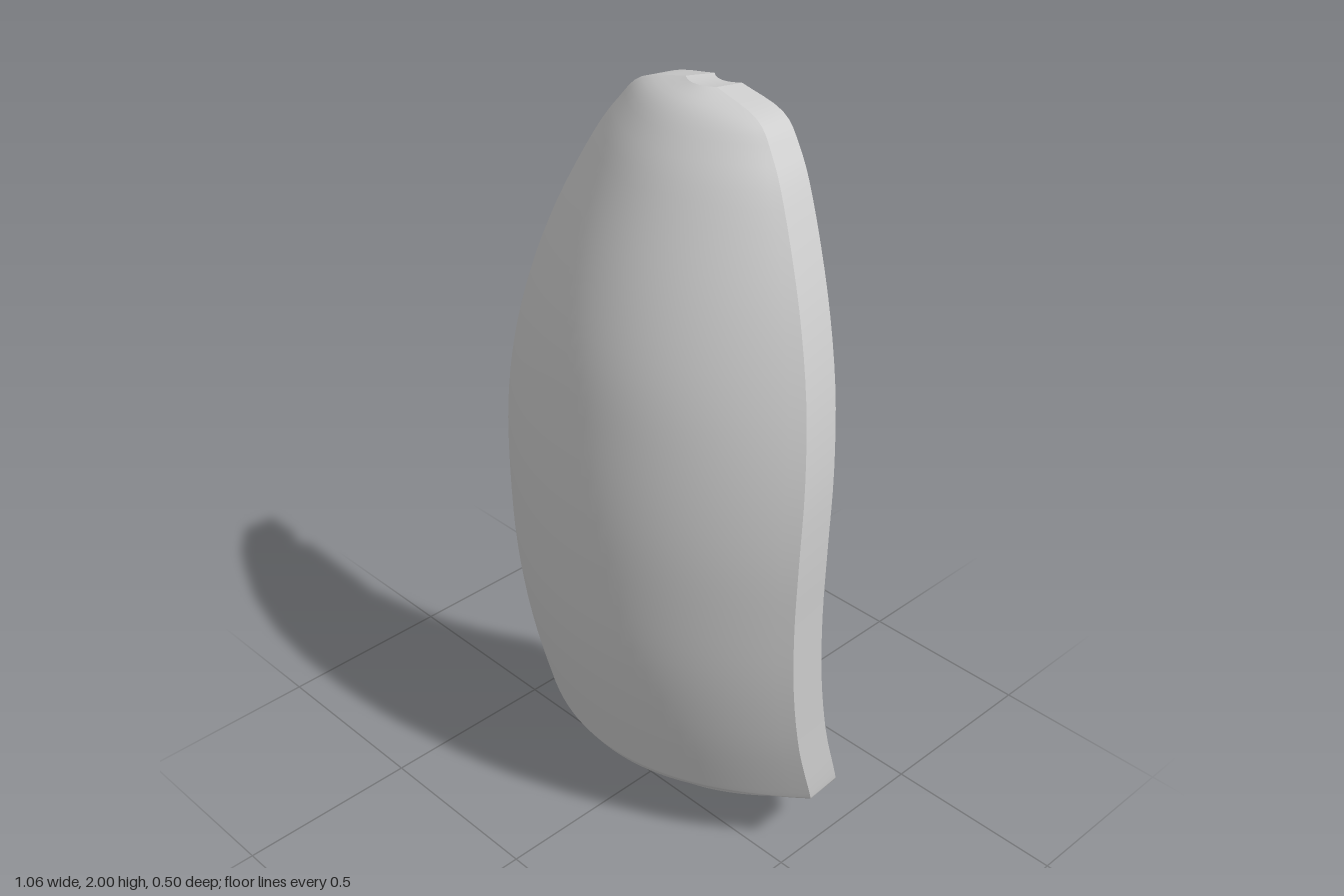
import * as THREE from 'three';

// Rows from bottom to top: height, half width, z on the centre line, z at the edge
const ROWS = [
  [0, 0.295, -0.025, -0.16], [0.04, 0.31, 0.01, -0.147], [0.085, 0.36, 0.055, -0.128],
  [0.145, 0.45, 0.125, -0.1], [0.19, 0.515, 0.16, -0.08], [0.22, 0.527, 0.17, -0.068],
  [0.4, 0.528, 0.212, -0.015], [0.6, 0.528, 0.243, 0.018], [0.8, 0.528, 0.253, 0.029],
  [1, 0.528, 0.25, 0.025], [1.2, 0.515, 0.23, 0.003], [1.4, 0.477, 0.195, -0.03],
  [1.6, 0.41, 0.13, -0.067], [1.8, 0.315, 0.04, -0.11], [1.9, 0.25, -0.02, -0.135],
  [1.965, 0.185, -0.075, -0.15], [2, 0.05, -0.14, -0.16],
];
const curve = (pts) => new THREE.CatmullRomCurve3(pts, false, 'catmullrom', 0.5);
const centreLine = curve(ROWS.map(([y, , c]) => new THREE.Vector3(0, y, c)));
const edgeLine = curve(ROWS.map(([y, w, , e]) => new THREE.Vector3(w, y, e)));

// Point on the shell: u across (0..1), v up (0..1), d from front (0) to back (1)
function shell(u, v, d) {
  const s = 2 * u - 1;
  const c = centreLine.getPoint(v), e = edgeLine.getPoint(v);
  const thickness = 0.09 + 0.02 * Math.sin(Math.PI * v);
  return [
    s * (e.x - 0.006 * d),
    Math.max(0, e.y - 0.015 * d * v ** 8),
    c.z + (e.z - c.z) * s * s - thickness * d,
  ];
}

// Grid whose vertices are placed by a rule of (a, b)
function patch(name, na, nb, rule, material) {
  const geo = new THREE.PlaneGeometry(1, 1, na, nb);
  const p = geo.attributes.position;
  for (let i = 0; i < p.count; i++) p.setXYZ(i, ...rule(p.getX(i) + 0.5, p.getY(i) + 0.5));
  geo.computeVertexNormals();
  const mesh = new THREE.Mesh(geo, material);
  mesh.name = name;
  return mesh;
}

export function createModel() {
  const material = new THREE.MeshStandardMaterial({ color: 0xcccccc });
  const group = new THREE.Group();
  group.name = 'curvedShell';
  const NU = 32, NV = (ROWS.length - 1) * 4;
  group.add(
    // Domed front and hollow back
    patch('outerSurface', NU, NV, (a, b) => shell(a, b, 0), material),
    patch('innerSurface', NU, NV, (a, b) => shell(1 - a, b, 1), material),
    // Rim all the way round
    patch('leftRim', 1, NV, (a, b) => shell(1, b, a), material),
    patch('rightRim', 1, NV, (a, b) => shell(0, b, 1 - a), material),
    patch('topRim', NU, 1, (a, b) => shell(a, 1, b), material),
    patch('bottomRim', NU, 1, (a, b) => shell(a, 0, 1 - b), material),
  );
  return group;
}
